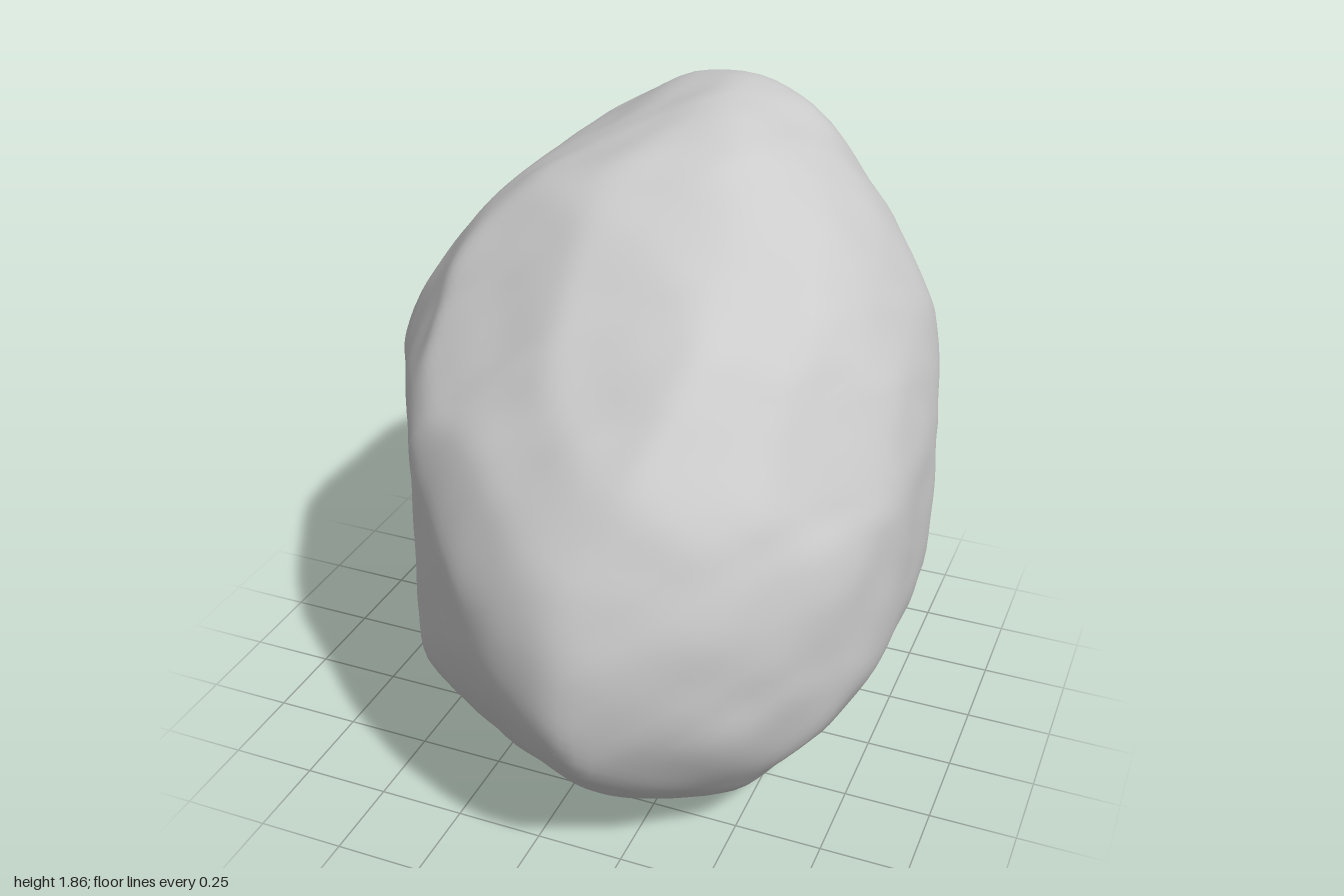
import * as THREE from 'three';
import { mergeVertices } from 'three/addons/utils/BufferGeometryUtils.js';

const rad = THREE.MathUtils.degToRad;

// Rings of flat facets: each ring is tilted by a turn and a lift (degrees),
// with the distance of a facet from the centre at every 30 degrees round it
const rings = [
  { turn: 0, lift: 0, reach: [0.85, 0.85, 0.9, 0.935, 0.8, 0.765, 0.86, 0.845, 0.85, 0.935, 1.01, 0.965] },
  { turn: 90, lift: 0, reach: [1, 1.105, 1.105, 0.935, 0.75, 0.82, 1, 1.095, 1.01, 0.935, 0.93, 0.995] },
  { turn: 0, lift: 90, reach: [0.85, 0.885, 0.99, 1, 1.03, 0.98, 0.86, 0.66, 0.815, 1, 0.975, 0.925] },
  { turn: 45, lift: 30, reach: [0.94, 0.99, 1.12, 1.03, 0.8, 0.69, 0.75, 0.885, 1.025, 1.04, 1.035, 0.95] },
  { turn: 225, lift: 30, reach: [0.75, 0.72, 0.705, 0.83, 0.89, 0.925, 0.94, 0.985, 0.965, 0.91, 0.895, 0.875] },
  { turn: 135, lift: -30, reach: [0.99, 1.035, 1.105, 1.08, 0.895, 0.83, 0.98, 1.06, 1.06, 0.92, 0.895, 0.945] },
];

// Facets of all rings, with a smoothly interpolated one between each two
function ringFacets() {
  return rings.flatMap(({ turn, lift, reach }) => {
    const tilt = new THREE.Euler(-rad(lift), rad(turn), 0, 'YXZ');
    const at = (i) => reach[(i + 12) % 12];
    const facet = (angle, distance) => ({
      normal: new THREE.Vector3(Math.cos(angle), Math.sin(angle), 0).applyEuler(tilt),
      distance,
    });
    return reach.flatMap((d, i) => [
      facet(rad(i * 30), d),
      facet(rad(i * 30 + 15), (9 * (d + at(i + 1)) - at(i - 1) - at(i + 2)) / 16),
    ]);
  });
}

// Facets for the gaps between the rings: a ball is fitted to the nearby facets
// of each direction on an even spiral, and its tangent plane is taken
function gapFacets(known, count) {
  const roundness = 0.72;
  return Array.from({ length: count }, (_, i) => {
    const y = 1 - (2 * i + 1) / count;
    const turn = i * Math.PI * (3 - Math.sqrt(5));
    const ring = Math.sqrt(1 - y * y);
    const normal = new THREE.Vector3(ring * Math.cos(turn), y, ring * Math.sin(turn));
    const matrix = new THREE.Matrix3().multiplyScalar(0);
    const centre = new THREE.Vector3();
    for (const f of known) {
      const weight = Math.exp(60 * (f.normal.dot(normal) - 1));
      const n = f.normal.toArray();
      for (let k = 0; k < 9; k++) matrix.elements[k] += weight * n[k % 3] * n[Math.floor(k / 3)];
      centre.addScaledVector(f.normal, weight * (f.distance - roundness));
    }
    centre.applyMatrix3(matrix.invert());
    return { normal, distance: roundness + centre.dot(normal) };
  });
}

// Gentle weathering: warped waves at a few scales
function weathering(p) {
  let sum = 0;
  for (const [f, amp] of [[6, 0.003], [11, 0.003], [19, 0.002]]) {
    const w = 1.3 * Math.sin(f * 0.6 * (p.x - p.y + p.z) + f);
    sum += amp * Math.sin(f * p.x + w) * Math.sin(f * p.y + 1.7 - w);
    sum += amp * Math.sin(f * p.z + 0.6 + w) * Math.cos(f * (p.x + p.y) * 0.7);
  }
  return sum;
}

// Sphere pushed out to the softened intersection of the facets
function boulderGeometry() {
  const known = ringFacets();
  const planes = [...known, ...gapFacets(known, 300)].map((f) => f.normal.clone().divideScalar(f.distance));
  const sharpness = 140;
  const fullness = 1.008; // makes up for the rounding of the facets
  const sphere = new THREE.IcosahedronGeometry(1, 28);
  sphere.deleteAttribute('uv');
  sphere.deleteAttribute('normal');
  const geo = mergeVertices(sphere, 1e-5);
  const pos = geo.attributes.position;
  const p = new THREE.Vector3();
  for (let i = 0; i < pos.count; i++) {
    p.fromBufferAttribute(pos, i).normalize();
    let sum = 0;
    for (const n of planes) sum += Math.max(0, n.dot(p)) ** sharpness;
    p.multiplyScalar(fullness * sum ** (-1 / sharpness));
    p.multiplyScalar(1 + weathering(p));
    pos.setXYZ(i, p.x, p.y, p.z);
  }
  geo.computeVertexNormals();
  geo.computeBoundingBox();
  return geo;
}

export function createModel() {
  const geo = boulderGeometry();
  const boulder = new THREE.Mesh(geo, new THREE.MeshStandardMaterial({ color: 0xcccccc }));
  boulder.name = 'boulder';
  boulder.position.y = -geo.boundingBox.min.y; // rest on the ground
  const group = new THREE.Group();
  group.name = 'rock';
  group.add(boulder);
  return group;
}
